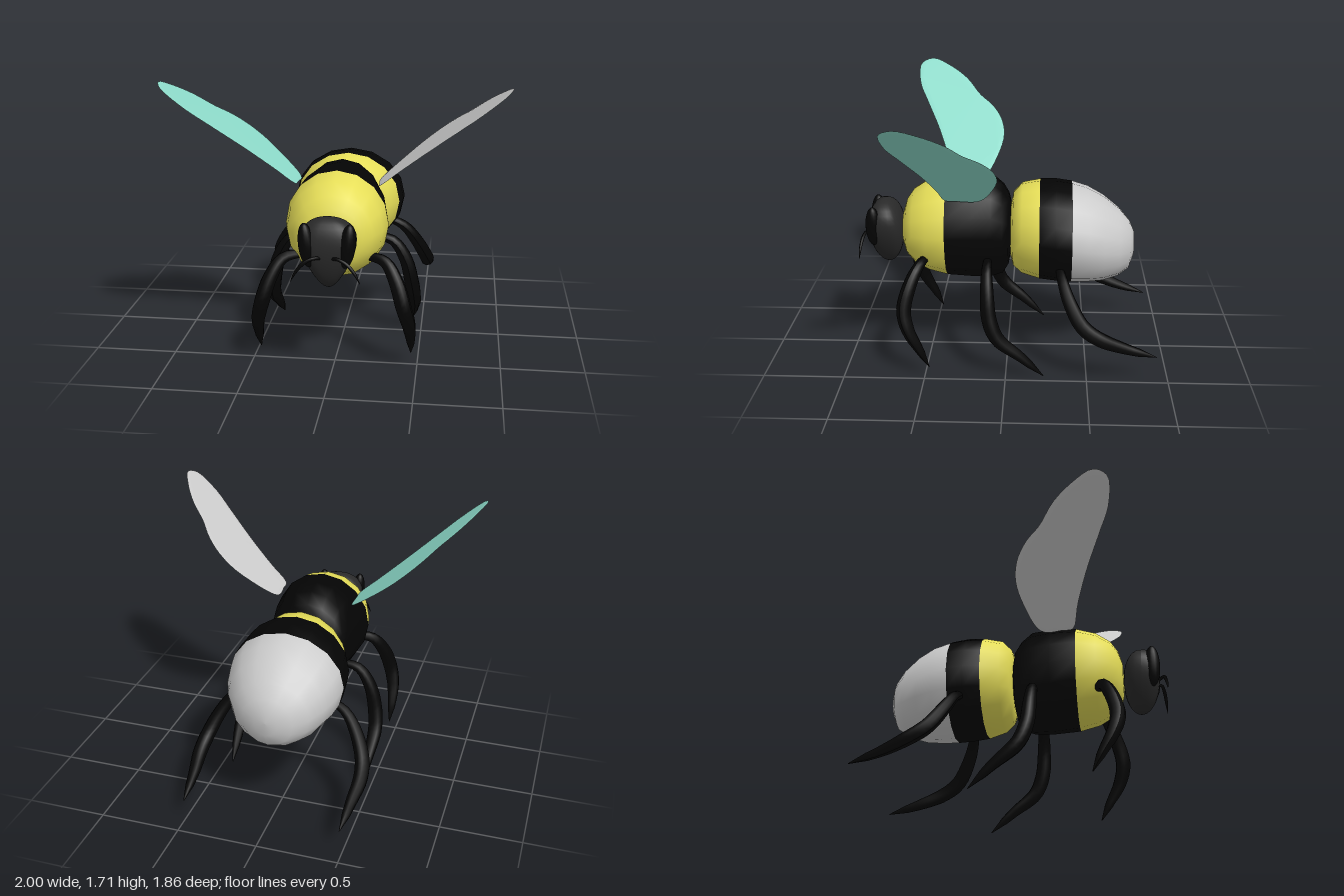
import * as THREE from 'three';
import { mergeVertices } from 'three/addons/utils/BufferGeometryUtils.js';

const V = (p) => new THREE.Vector3(...p);
const mat = (color) => new THREE.MeshStandardMaterial({ color });
const yellow = mat(0xe6de58), black = mat(0x040404), charcoal = mat(0x292929);
const grey = mat(0xcccccc), teal = mat(0x8edccb);

function add(parent, name, geometry, material) {
  const mesh = new THREE.Mesh(geometry, material);
  mesh.name = name;
  parent.add(mesh);
  return mesh;
}

// Part of a geometry: same vertices and normals, fewer faces
function facesOf(whole, index) {
  const g = new THREE.BufferGeometry();
  g.setAttribute('position', whole.attributes.position);
  g.setAttribute('normal', whole.attributes.normal);
  g.setIndex(index);
  return g;
}

// Smooth loft along z through elliptic sections [z, bottom, top, halfWidth], front to back.
// Bands [name, firstSection, lastSection, material] share vertices, so shading runs across them.
function banded(name, sections, bands, sides = 16) {
  const pos = [], index = [];
  for (const [z, bottom, top, w] of sections) {
    for (let i = 0; i < sides; i++) {
      const a = (i / sides) * Math.PI * 2;
      pos.push(w * Math.sin(a), (top + bottom) / 2 + ((top - bottom) / 2) * Math.cos(a), z);
    }
  }
  for (let r = 0; r < sections.length - 1; r++) {
    for (let i = 0; i < sides; i++) {
      const j = (i + 1) % sides;
      const a = r * sides + i, b = r * sides + j, c = a + sides, d = b + sides;
      index.push(a, b, c, b, d, c);
    }
  }
  const whole = new THREE.BufferGeometry();
  whole.setAttribute('position', new THREE.Float32BufferAttribute(pos, 3));
  whole.setIndex(index);
  whole.computeVertexNormals();
  const group = new THREE.Group();
  group.name = name;
  for (const [bandName, from, to, material] of bands) {
    add(group, bandName, facesOf(whole, index.slice(from * sides * 6, to * sides * 6)), material);
  }
  return group;
}

// Tube along points [x, y, z] whose radius follows a list of values
function taperedTube(points, radii, segments = 24, sides = 10) {
  const curve = new THREE.CatmullRomCurve3(points.map(V), false, 'centripetal');
  const g = new THREE.TubeGeometry(curve, segments, 1, sides, false);
  const p = g.attributes.position, v = new THREE.Vector3();
  for (let r = 0; r <= segments; r++) {
    const centre = curve.getPointAt(r / segments);
    const f = (r / segments) * (radii.length - 1);
    const k = Math.min(Math.floor(f), radii.length - 2);
    const radius = THREE.MathUtils.lerp(radii[k], radii[k + 1], f - k);
    for (let i = 0; i <= sides; i++) {
      const n = r * (sides + 1) + i;
      v.fromBufferAttribute(p, n).sub(centre).multiplyScalar(radius).add(centre);
      p.setXYZ(n, v.x, v.y, v.z);
    }
  }
  g.computeVertexNormals();
  return g;
}

// Head: slightly boxy seen from above, full at the brow, narrow at the mouth
function headGeometry() {
  const g = new THREE.SphereGeometry(1, 28, 18);
  const p = g.attributes.position;
  const boxy = (c, r) => (r < 1e-4 ? 0 : Math.sign(c) * r * Math.pow(Math.abs(c) / r, 0.75));
  for (let i = 0; i < p.count; i++) {
    const x = p.getX(i), y = p.getY(i), z = p.getZ(i), r = Math.hypot(x, z);
    p.setXYZ(i, boxy(x, r) * (0.148 + 0.066 * y), 0.8 + 0.21 * y,
      0.772 + boxy(z, r) * (0.112 + 0.012 * y) + 0.008 * y);
  }
  g.computeVertexNormals();
  return g;
}

// Thin wing: outline given as [z, y], laid into a plane sloping up and outward
const rise = 0.64, run = 0.76, span = Math.hypot(rise, run);
const wingOutline = [
  [0.37, 1.08], [0.41, 1.18], [0.48, 1.32], [0.575, 1.47], [0.635, 1.57], [0.64, 1.68],
  [0.56, 1.71], [0.43, 1.665], [0.31, 1.595], [0.22, 1.51], [0.13, 1.45], [0.065, 1.375],
  [0.045, 1.29], [0.08, 1.19], [0.15, 1.09], [0.2, 1.07], [0.3, 1.075],
];
function wing(side, name) {
  const pts = wingOutline.map(([z, y]) => new THREE.Vector3(z, ((y - 1.07) / rise) * span, 0));
  const smooth = new THREE.CatmullRomCurve3(pts, true).getPoints(60).slice(0, 60);
  const shape = new THREE.Shape(smooth.map((q) => new THREE.Vector2(q.x, q.y)));
  let g = new THREE.ExtrudeGeometry(shape, {
    depth: 0.001, bevelEnabled: true, bevelSegments: 1,
    bevelThickness: 0.002, bevelSize: 0.025, bevelOffset: -0.025,
  });
  g.deleteAttribute('normal');
  g.deleteAttribute('uv');
  g = mergeVertices(g, 1e-5);
  g.computeVertexNormals();

  // Sort faces into the grey and the teal half of the thickness
  const greyFaces = [], tealFaces = [];
  const p = g.attributes.position, index = g.index.array;
  for (let i = 0; i < index.length; i += 3) {
    const face = [index[i], index[i + 1], index[i + 2]];
    const depth = face.reduce((sum, n) => sum + p.getZ(n), 0) / 3;
    (depth > 0.0005 ? greyFaces : tealFaces).push(...face);
  }

  // The right wing is the left one turned over, so its teal face is on top
  const up = new THREE.Vector3(side * run, rise, 0).normalize();
  const along = new THREE.Vector3(0, 0, 1);
  const m = new THREE.Matrix4().makeBasis(along, up, along.clone().cross(up));
  g.applyMatrix4(m.setPosition(side * 0.24, 1.07, 0));
  const group = new THREE.Group();
  group.name = name;
  add(group, 'wingGreyFace', facesOf(g, greyFaces), grey);
  add(group, 'wingTealFace', facesOf(g, tealFaces), teal);
  return group;
}

export function createModel() {
  const bee = new THREE.Group();
  bee.name = 'bee';

  // Thorax and abdomen with their colour bands
  bee.add(banded('thorax', [
    [0.665, 0.82, 0.82, 0], [0.66, 0.72, 0.93, 0.11], [0.635, 0.65, 1.01, 0.18],
    [0.59, 0.6, 1.075, 0.235], [0.5, 0.55, 1.135, 0.285], [0.38, 0.52, 1.17, 0.31],
    [0.22, 0.505, 1.18, 0.29], [0.1, 0.505, 1.17, 0.265], [0.03, 0.53, 1.11, 0.245],
    [-0.005, 0.59, 1.05, 0.215], [-0.02, 0.67, 0.99, 0.15], [-0.022, 0.82, 0.82, 0],
  ], [['thoraxFront', 0, 5, yellow], ['thoraxBack', 5, 11, black]]));
  bee.add(banded('abdomen', [
    [-0.015, 0.81, 0.81, 0], [-0.018, 0.64, 0.98, 0.15], [-0.035, 0.58, 1.06, 0.22],
    [-0.09, 0.535, 1.115, 0.285], [-0.2, 0.505, 1.135, 0.335], [-0.3, 0.495, 1.135, 0.355],
    [-0.4, 0.49, 1.12, 0.358], [-0.5, 0.49, 1.09, 0.342], [-0.6, 0.497, 1.035, 0.302],
    [-0.7, 0.525, 0.955, 0.235], [-0.765, 0.57, 0.88, 0.155], [-0.795, 0.65, 0.81, 0.07],
    [-0.8, 0.735, 0.735, 0],
  ], [['abdomenFront', 0, 4, yellow], ['abdomenBand', 4, 6, black], ['tail', 6, 12, grey]]));

  add(bee, 'head', headGeometry(), charcoal);

  const legPaths = {
    frontLeg: [[0.18, 0.69, 0.5], [0.3, 0.67, 0.54], [0.37, 0.57, 0.59], [0.42, 0.42, 0.625],
      [0.45, 0.3, 0.595], [0.46, 0.18, 0.53], [0.46, 0.065, 0.472]],
    middleLeg: [[0.2, 0.69, 0.12], [0.32, 0.66, 0.12], [0.4, 0.54, 0.115], [0.44, 0.38, 0.1],
      [0.455, 0.26, 0.05], [0.45, 0.14, -0.09], [0.44, 0.005, -0.235]],
    rearLeg: [[0.25, 0.67, -0.32], [0.36, 0.61, -0.345], [0.44, 0.5, -0.39], [0.5, 0.37, -0.47],
      [0.515, 0.3, -0.57], [0.5, 0.235, -0.72], [0.485, 0.17, -0.925]],
  };
  for (const side of [1, -1]) {
    const label = side > 0 ? 'left' : 'right';
    const mirror = (path) => path.map(([x, y, z]) => [side * x, y, z]);

    // Legs swell to the knee and taper to a point
    for (const [name, path] of Object.entries(legPaths)) {
      const radii = [0.022, 0.032, 0.04, 0.045, 0.047, 0.044, 0.036, 0.025, 0.002];
      add(bee, `${label} ${name}`, taperedTube(mirror(path), radii), black);
    }

    // Antenna
    add(bee, `${label} antenna`, taperedTube(mirror([
      [0.025, 0.79, 0.86], [0.06, 0.802, 0.895], [0.11, 0.785, 0.91],
      [0.16, 0.735, 0.92], [0.195, 0.67, 0.925],
    ]), [0.01, 0.01, 0.011, 0.009, 0.001], 16, 8), black);

    // Eye
    const eye = add(bee, `${label} eye`, new THREE.SphereGeometry(1, 18, 14), black);
    eye.scale.set(0.046, 0.13, 0.047);
    eye.position.set(side * 0.115, 0.86, 0.842);
    eye.rotation.z = -side * 0.12;

    bee.add(wing(side, `${label} wing`));
  }
  return bee;
}
